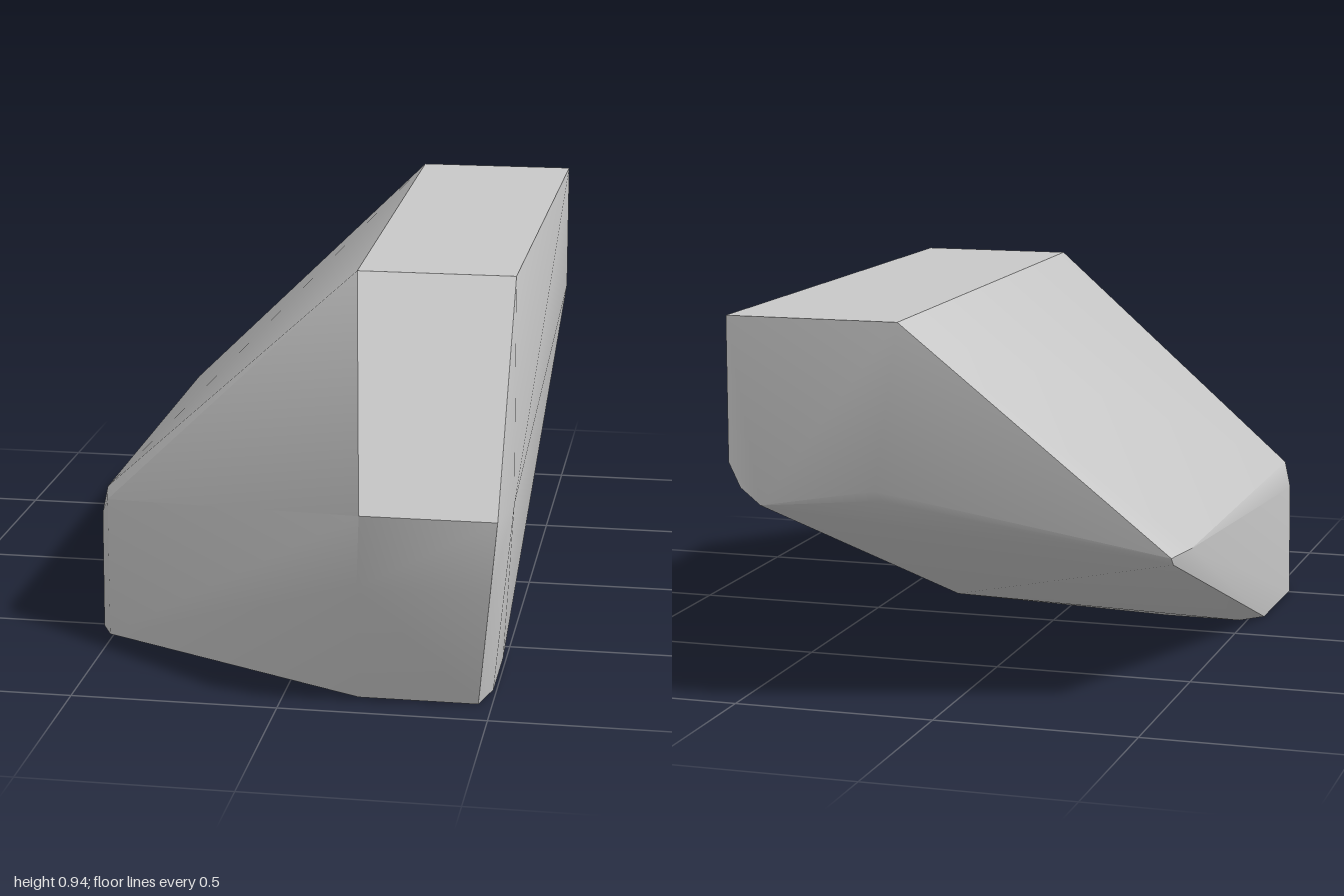
import * as THREE from 'three';
import { ConvexGeometry } from 'three/addons/geometries/ConvexGeometry.js';
import { toCreasedNormals } from 'three/addons/utils/BufferGeometryUtils.js';

// Corner points of the faceted boulder, grouped by the face they bound
const corners = {
  top: [[0.078, 0.94, -1], [0.503, 0.94, -1], [0.497, 0.94, 0.455], [0.105, 0.94, 0.455]],
  front: [[0.195, 0.485, 1], [0.517, 0.485, 1], [0.502, 0.31, 1], [0.19, 0.31, 1]],
  flank: [[0.54, 0.485, 0.85]],
  back: [[0.504, 0.59, -1], [0.475, 0.53, -1], [0.425, 0.49, -1], [0.14, 0.54, -1]],
  backBevel: [[0.13, 0.515, -0.985], [-0.51, 0.345, -0.72]],
  shoulder: [
    [-0.525, 0.37, 0.5], [-0.515, 0.35, 0.545], [-0.54, 0.3, 0.5],
    [-0.53, 0.365, -0.62], [-0.51, 0.365, -0.74],
  ],
  underside: [[0.105, 0.18, -0.49]],
  base: [
    [0.467, 0, 0.9], [0.492, 0, 0.8], [0.492, 0, 0.58], [0.31, 0, 0.24], [-0.28, 0, 0.14],
    [-0.48, 0, 0.14], [-0.535, 0, 0.2], [-0.54, 0, 0.51], [-0.51, 0, 0.57], [0.18, 0, 0.9],
  ],
};

// Gather the hull triangles whose face normal passes the test
function pickFaces(hull, test) {
  const { position, normal } = hull.attributes;
  const points = [];
  for (let i = 0; i < position.count; i += 3) {
    if (!test(new THREE.Vector3().fromBufferAttribute(normal, i))) continue;
    for (let k = 0; k < 3; k++) points.push(new THREE.Vector3().fromBufferAttribute(position, i + k));
  }
  const geometry = new THREE.BufferGeometry().setFromPoints(points);
  geometry.computeVertexNormals();
  return geometry;
}

export function createModel() {
  const group = new THREE.Group();
  group.name = 'boulder';
  const stone = new THREE.MeshStandardMaterial({ color: 0xc8c8c8 });
  stone.name = 'grey stone';
  const add = (name, geometry) => {
    const mesh = new THREE.Mesh(geometry, stone);
    mesh.name = name;
    group.add(mesh);
  };

  const hull = new ConvexGeometry(Object.values(corners).flat().map((p) => new THREE.Vector3(...p)));
  const isSlope = (n) => n.y > 0.7 && n.z > 0.5;

  // Flat slope above the front face, kept crisp on every side
  add('frontSlope', pickFaces(hull, isSlope));

  // Rest of the rock: gentle edges are blended, strong edges stay sharp
  const body = pickFaces(hull, (n) => !isSlope(n));
  add('rockBody', toCreasedNormals(body, THREE.MathUtils.degToRad(41.5)));
  return group;
}
